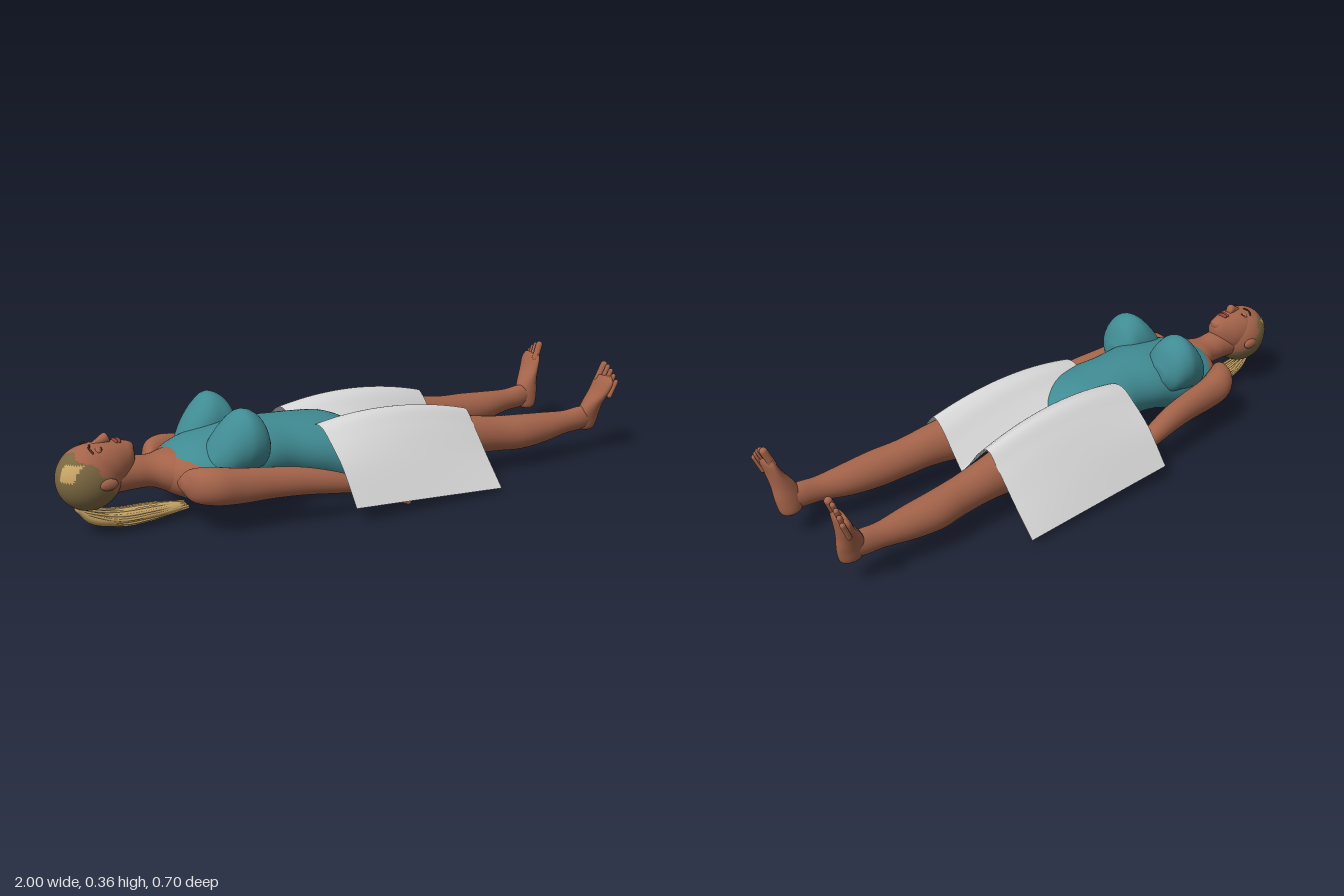
import * as THREE from 'three';

const mat = (name, color, extra = {}) => Object.assign(new THREE.MeshStandardMaterial({ color, ...extra }), { name });

// Smooth body form through elliptical sections [x, y, z, ra, rb] along x (ra up, rb across) or along y (ra along x, rb across)
function loft(sections, axis = 'x', steps = 40, sides = 32) {
  const centre = new THREE.CatmullRomCurve3(sections.map(s => new THREE.Vector3(s[0], s[1], s[2])));
  const radii = new THREE.CatmullRomCurve3(sections.map(s => new THREE.Vector3(s[3], s[4], 0)));
  centre.curveType = radii.curveType = 'catmullrom';
  const pos = [], idx = [];
  for (let i = 0; i <= steps; i++) {
    const c = centre.getPoint(i / steps), r = radii.getPoint(i / steps);
    for (let j = 0; j < sides; j++) {
      const a = j / sides * Math.PI * 2, u = Math.cos(a), v = Math.sin(a);
      if (axis === 'x') pos.push(c.x, c.y + r.x * u, c.z + r.y * v);
      else pos.push(c.x + r.x * v, c.y, c.z + r.y * u);
      if (i < steps) {
        const p = i * sides + j, q = i * sides + (j + 1) % sides;
        idx.push(p, q, q + sides, p, q + sides, p + sides);
      }
    }
  }
  const first = pos.length / 3, last = steps * sides;
  pos.push(...centre.getPoint(0).toArray(), ...centre.getPoint(1).toArray());
  for (let j = 0; j < sides; j++) {
    const k = (j + 1) % sides;
    idx.push(first, k, j, first + 1, last + j, last + k);
  }
  const g = new THREE.BufferGeometry();
  g.setAttribute('position', new THREE.Float32BufferAttribute(pos, 3));
  g.setIndex(idx);
  g.computeVertexNormals();
  return g;
}

// Split the faces of a geometry into two material groups by position
function paint(geo, isSecond) {
  const p = geo.attributes.position, id = geo.index.array, lists = [[], []];
  for (let i = 0; i < id.length; i += 3) {
    const t = [id[i], id[i + 1], id[i + 2]];
    const mean = f => (f(t[0]) + f(t[1]) + f(t[2])) / 3;
    const second = isSecond(mean(k => p.getX(k)), mean(k => p.getY(k)), mean(k => p.getZ(k)));
    lists[second ? 1 : 0].push(...t);
  }
  geo.setIndex([...lists[0], ...lists[1]]);
  geo.addGroup(0, lists[0].length, 0);
  geo.addGroup(lists[0].length, lists[1].length, 1);
  return geo;
}

function ellipsoid(x, y, z, rx, ry, rz, w = 32, h = 24) {
  return new THREE.SphereGeometry(1, w, h).scale(rx, ry, rz).translate(x, y, z);
}

// Rounded rod between two points, for fingers and toes
function rod(a, b, r) {
  const A = new THREE.Vector3(...a), B = new THREE.Vector3(...b), d = B.clone().sub(A);
  const q = new THREE.Quaternion().setFromUnitVectors(new THREE.Vector3(0, 1, 0), d.clone().normalize());
  const m = A.add(B).multiplyScalar(0.5);
  return new THREE.CapsuleGeometry(r, d.length(), 6, 12).applyQuaternion(q).translate(m.x, m.y, m.z);
}

const tube = (pts, r) => new THREE.TubeGeometry(new THREE.CatmullRomCurve3(pts.map(p => new THREE.Vector3(...p))), 12, r, 8);

export function createModel() {
  const model = new THREE.Group();
  const skin = mat('skin', 0xa5644a), suit = mat('swimsuit teal', 0x408b93);
  const cloth = mat('towel white', 0xd8d8d8, { side: THREE.DoubleSide });
  const scalp = mat('scalp hair', 0x7a6741), blonde = mat('blonde hair', 0xc8a566);
  const lip = mat('lips', 0x8c4638), dark = mat('brows', 0x4a3024);
  const add = (name, geo, m, parent = model) => {
    const mesh = new THREE.Mesh(geo, m);
    mesh.name = name;
    parent.add(mesh);
    return mesh;
  };

  // Torso, with the neckline painted across it
  const torso = loft([
    [-0.68, 0.165, 0, 0.045, 0.05], [-0.63, 0.16, 0, 0.072, 0.13], [-0.56, 0.16, 0, 0.10, 0.165],
    [-0.46, 0.165, 0, 0.115, 0.165], [-0.36, 0.182, 0, 0.108, 0.15], [-0.26, 0.182, 0, 0.104, 0.138],
    [-0.16, 0.167, 0, 0.110, 0.162], [-0.07, 0.142, 0, 0.122, 0.186], [0.0, 0.13, 0, 0.105, 0.18],
    [0.04, 0.12, 0, 0.08, 0.14], [0.065, 0.115, 0, 0.03, 0.06]], 'x', 90, 64);
  const skinAt = (x, y, z) => x < -0.645 + 3 * z * z || (x > -0.06 && Math.abs(z) > 0.17 - 0.4 * (x + 0.06) && y > 0.07);
  add('torso', paint(torso, skinAt), [suit, skin]);

  // Neck
  add('neck', loft([[-0.83, 0.18, 0, 0.055, 0.052], [-0.76, 0.18, 0, 0.053, 0.051],
    [-0.70, 0.175, 0, 0.052, 0.058], [-0.64, 0.165, 0, 0.068, 0.10], [-0.59, 0.165, 0, 0.07, 0.12]]), skin);

  // Head: skull, face and hair
  const head = new THREE.Group();
  head.name = 'head';
  model.add(head);
  const hairy = (x, y, z) => x + 0.9 * (y - 0.19) < -0.868 + 0.012 * Math.sin(z * 90) + 0.01 * Math.sin(y * 110);
  add('skull', paint(ellipsoid(-0.898, 0.19, 0, 0.102, 0.102, 0.088, 64, 48), (x, y, z) => !hairy(x, y, z)), [scalp, skin], head);
  add('face', loft([[-0.965, 0.22, 0, 0.02, 0.025], [-0.93, 0.217, 0, 0.069, 0.06], [-0.88, 0.215, 0, 0.08, 0.073],
    [-0.83, 0.217, 0, 0.077, 0.066], [-0.79, 0.222, 0, 0.066, 0.05], [-0.765, 0.234, 0, 0.046, 0.034],
    [-0.752, 0.24, 0, 0.015, 0.014]]), skin, head);
  add('nose', loft([[-0.895, 0.28, 0, 0.008, 0.008], [-0.87, 0.292, 0, 0.012, 0.01],
    [-0.842, 0.302, 0, 0.018, 0.015], [-0.829, 0.294, 0, 0.01, 0.012]], 'x', 16, 16), skin, head);
  for (const x of [-0.811, -0.8]) add('lip', ellipsoid(x, 0.289, 0, 0.007, 0.008, 0.021, 16, 10), lip, head);
  add('chin', ellipsoid(-0.772, 0.263, 0, 0.02, 0.019, 0.024, 20, 14), skin, head);
  for (const s of [-1, 1]) {
    add('eyelid', ellipsoid(-0.877, 0.277, s * 0.031, 0.012, 0.012, 0.017, 20, 14), skin, head);
    add('lashes', tube([[-0.87, 0.283, s * 0.018], [-0.866, 0.286, s * 0.031], [-0.869, 0.28, s * 0.046]], 0.002), dark, head);
    add('brow', tube([[-0.896, 0.294, s * 0.015], [-0.904, 0.289, s * 0.033], [-0.897, 0.276, s * 0.052]], 0.003), dark, head);
    add('ear', ellipsoid(-0.868, 0.185, s * 0.084, 0.03, 0.018, 0.011, 20, 14), skin, head);
    add('hairPatch', paint(ellipsoid(-0.898, 0.19, 0, 0.1035, 0.1035, 0.0895, 64, 48),
      (x, y, z) => !(s * z > 0.025 && s * z < 0.066 && y > 0.20 && y < 0.25 && x < -0.93)),
      [blonde, new THREE.MeshStandardMaterial({ visible: false })].slice(0, 1), head);
  }

  // Ponytail of parallel strands lying behind the neck
  const tail = new THREE.Group();
  tail.name = 'ponytail';
  model.add(tail);
  add('tailCore', loft([[-0.945, 0.10, 0, 0.012, 0.018], [-0.90, 0.062, 0, 0.022, 0.026], [-0.82, 0.046, 0, 0.027, 0.036],
    [-0.70, 0.042, 0, 0.025, 0.035], [-0.62, 0.041, 0, 0.018, 0.025], [-0.585, 0.041, 0, 0.006, 0.01]]), blonde, tail);
  for (let i = 0; i < 12; i++) {
    const a = i / 12 * Math.PI * 2, c = Math.cos(a), s = Math.sin(a);
    add('strand', tube([[-0.93, 0.085 + 0.01 * c, 0.015 * s], [-0.82, 0.046 + 0.026 * c, 0.035 * s],
      [-0.70, 0.042 + 0.024 * c, 0.034 * s], [-0.59 + 0.01 * Math.sin(i * 5), 0.041 + 0.012 * c, 0.015 * s]], 0.004), blonde, tail);
  }

  for (const s of [-1, 1]) {
    const side = s > 0 ? 'left' : 'right';

    // Bust
    add(side + 'Bust', loft([[-0.56, 0.20, s * 0.10, 0.03, 0.04], [-0.52, 0.22, s * 0.108, 0.075, 0.07],
      [-0.47, 0.25, s * 0.115, 0.098, 0.083], [-0.43, 0.262, s * 0.12, 0.098, 0.085],
      [-0.385, 0.25, s * 0.115, 0.08, 0.075], [-0.355, 0.235, s * 0.11, 0.03, 0.035]]), suit);
    // Buttock
    add(side + 'Buttock', ellipsoid(-0.04, 0.105, s * 0.085, 0.105, 0.087, 0.085), suit);

    // Arm and hand
    const arm = new THREE.Group();
    arm.name = side + 'Arm';
    model.add(arm);
    add('arm', loft([[-0.66, 0.16, s * 0.13, 0.015, 0.02], [-0.635, 0.16, s * 0.16, 0.05, 0.05], [-0.58, 0.158, s * 0.192, 0.06, 0.054],
      [-0.50, 0.15, s * 0.21, 0.056, 0.044], [-0.40, 0.145, s * 0.222, 0.05, 0.041], [-0.30, 0.137, s * 0.238, 0.045, 0.039],
      [-0.20, 0.12, s * 0.256, 0.037, 0.033], [-0.10, 0.095, s * 0.265, 0.026, 0.024], [-0.05, 0.08, s * 0.265, 0.028, 0.02],
      [0.0, 0.062, s * 0.265, 0.036, 0.018], [0.03, 0.052, s * 0.265, 0.033, 0.014], [0.045, 0.047, s * 0.265, 0.012, 0.008]], 'x', 60), skin, arm);
    for (let i = 0; i < 4; i++) {
      const tip = [[0.085, 0.052], [0.104, 0.036], [0.102, 0.02], [0.07, 0.01]][i];
      const z = 0.265 + (i - 1.5) * 0.008;
      add('finger', rod([0.025, 0.074 - i * 0.015, s * z], [tip[0], tip[1], s * (z + 0.006)], 0.0095), skin, arm);
    }
    add('thumb', rod([-0.025, 0.085, s * 0.262], [0.025, 0.098, s * 0.278], 0.011), skin, arm);

    // Leg and foot
    const leg = new THREE.Group();
    leg.name = side + 'Leg';
    model.add(leg);
    add('leg', loft([[-0.06, 0.15, s * 0.095, 0.06, 0.06], [0.0, 0.15, s * 0.105, 0.092, 0.08], [0.08, 0.15, s * 0.108, 0.1, 0.084],
      [0.2, 0.15, s * 0.118, 0.096, 0.082], [0.32, 0.145, s * 0.133, 0.08, 0.07], [0.42, 0.141, s * 0.143, 0.068, 0.06],
      [0.52, 0.131, s * 0.15, 0.062, 0.056], [0.62, 0.124, s * 0.16, 0.061, 0.058], [0.72, 0.124, s * 0.163, 0.053, 0.051],
      [0.82, 0.129, s * 0.168, 0.041, 0.036], [0.89, 0.134, s * 0.17, 0.042, 0.031], [0.93, 0.138, s * 0.172, 0.03, 0.025]], 'x', 60), skin, leg);
    add('foot', loft([[0.93, 0.083, s * 0.163, 0.012, 0.01], [0.925, 0.097, s * 0.166, 0.036, 0.025], [0.926, 0.14, s * 0.172, 0.045, 0.031],
      [0.936, 0.185, s * 0.182, 0.037, 0.037], [0.955, 0.23, s * 0.194, 0.024, 0.045], [0.967, 0.265, s * 0.2, 0.018, 0.047],
      [0.972, 0.287, s * 0.198, 0.01, 0.038]], 'y'), skin, leg);
    for (let i = 0; i < 5; i++) {
      const top = [0.32, 0.316, 0.304, 0.288, 0.27][i], z = [0.172, 0.193, 0.209, 0.224, 0.238][i];
      const r = i ? 0.0085 : 0.0125;
      add('toe', rod([0.966, top - 0.05, s * z], [0.987, top, s * (z + 0.006)], r), skin, leg);
    }
  }

  // Towel draped over the hips and thighs, sagging between the legs
  const across = [0, 0.05, 0.10, 0.14, 0.19, 0.265, 0.35];
  const rows = [[-0.17, 0.215, 0.235, 0.262, 0.262, 0.23, 0.167, 0.055],
    [0.1, 0.19, 0.235, 0.278, 0.285, 0.24, 0.15, 0.035],
    [0.4, 0.095, 0.155, 0.215, 0.238, 0.19, 0.105, 0.014]];
  const profiles = rows.map(r => new THREE.CatmullRomCurve3(across.map((z, i) => new THREE.Vector3(0, r[i + 1], z))));
  const towel = new THREE.PlaneGeometry(2, 1, 80, 24);
  const p = towel.attributes.position;
  for (let i = 0; i < p.count; i++) {
    const u = p.getX(i), t = p.getY(i) + 0.5;
    const [a, b, c] = profiles.map(q => q.getPoint(Math.abs(u)));
    // quadratic blend through the three profiles
    const y = a.y * 2 * (t - 0.5) * (t - 1) + b.y * 4 * t * (1 - t) + c.y * 2 * t * (t - 0.5);
    p.setXYZ(i, -0.17 + 0.57 * t, y, Math.sign(u) * b.z);
  }
  towel.computeVertexNormals();
  add('towel', towel, cloth);
  return model;
}
